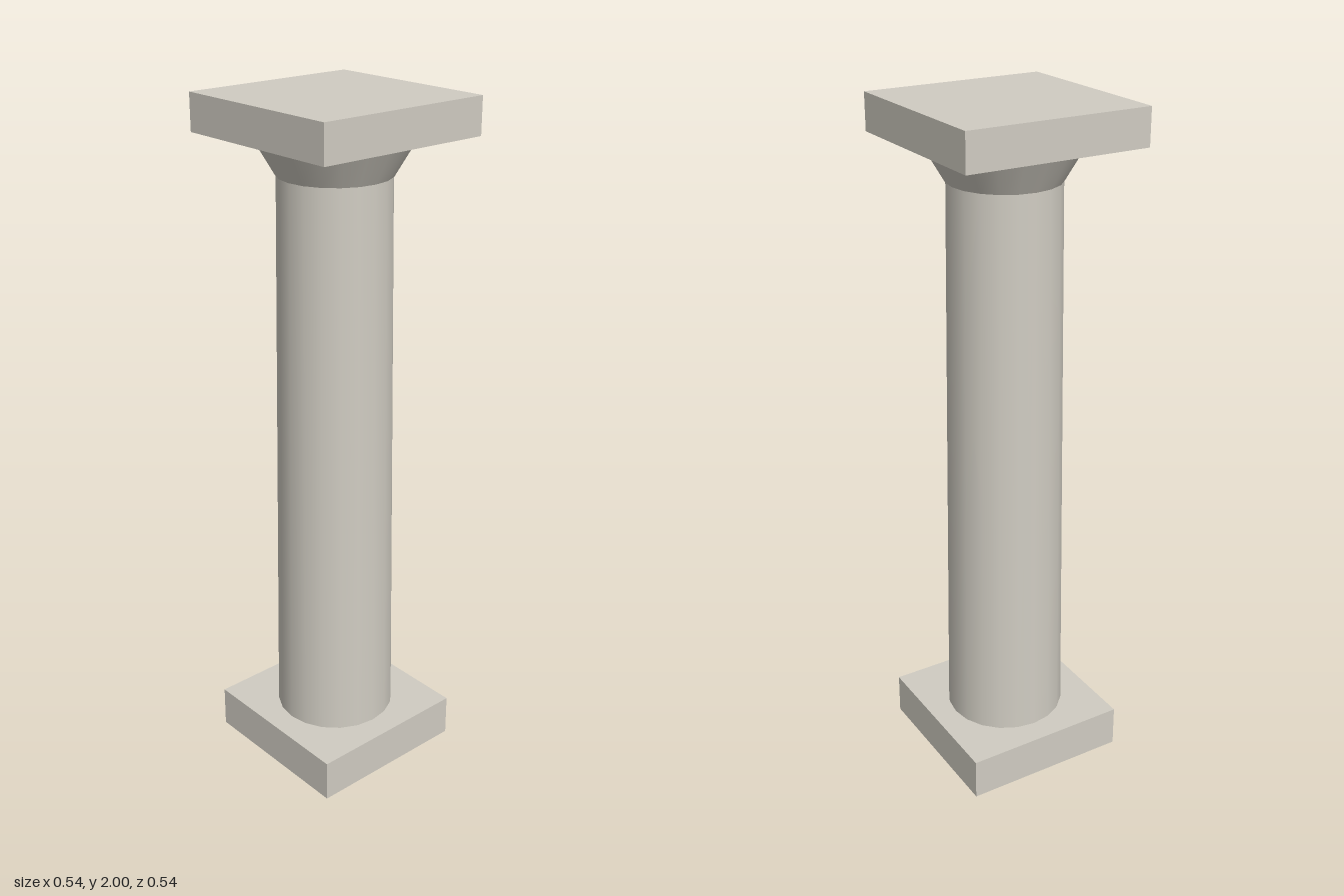
import * as THREE from 'three';

export function createModel() {
  const group = new THREE.Group();
  const stone = new THREE.MeshStandardMaterial({ color: 0xd0ccc2 });
  stone.name = 'pale stone';

  function add(name, geometry, y) {
    const mesh = new THREE.Mesh(geometry, stone);
    mesh.name = name;
    mesh.position.y = y;
    group.add(mesh);
  }

  // Square slab with its underside at y = bottom
  const slab = (name, width, bottom, top) =>
    add(name, new THREE.BoxGeometry(width, top - bottom, width), (bottom + top) / 2);

  // Tapered round section between two heights, seam turned to +x
  const round = (name, rTop, rBottom, bottom, top) =>
    add(name, new THREE.CylinderGeometry(rTop, rBottom, top - bottom, 20).rotateY(Math.PI / 2), (bottom + top) / 2);

  slab('base', 0.5, 0, 0.126);
  round('shaft', 0.158, 0.178, 0.126, 1.79);
  round('flaredCapital', 0.222, 0.16, 1.79, 1.895);
  slab('topSlab', 0.54, 1.895, 2);

  return group;
}
